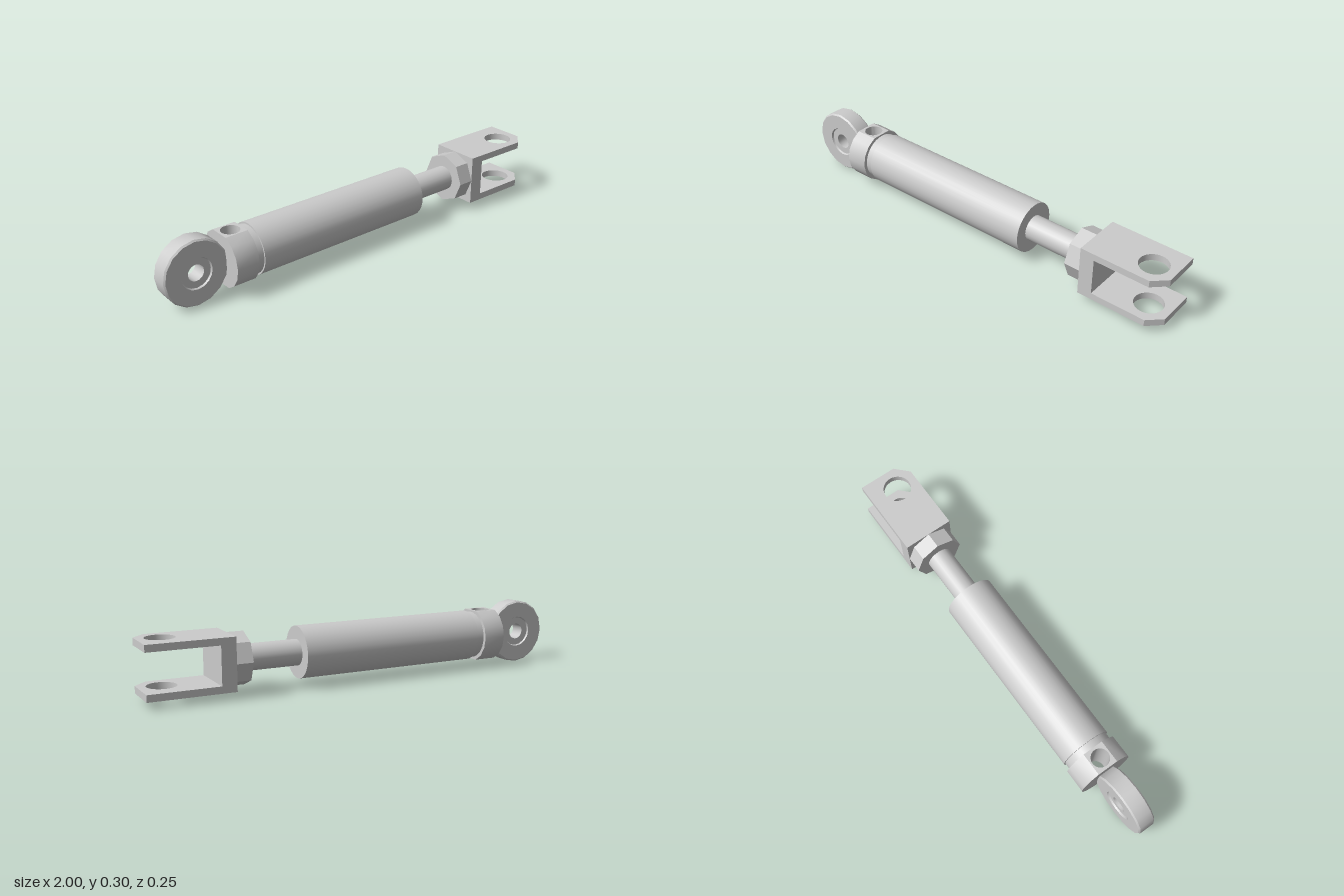
import * as THREE from 'three';
import { toCreasedNormals } from 'three/addons/utils/BufferGeometryUtils.js';

const AXIS_Y = 0.149; // height of the cylinder's centre line
const material = new THREE.MeshStandardMaterial({ color: 0xcccccc });
const flatMaterial = new THREE.MeshStandardMaterial({ color: 0xcccccc, flatShading: true });

function add(parent, name, geometry, mat = material) {
  const mesh = new THREE.Mesh(geometry, mat);
  mesh.name = name;
  parent.add(mesh);
  return mesh;
}

// Cylinder lying along x between two x positions
function rodAlongX(x0, x1, radius, sides) {
  return new THREE.CylinderGeometry(radius, radius, x1 - x0, sides)
    .rotateZ(Math.PI / 2)
    .translate((x0 + x1) / 2, 0, 0);
}

// Plate outlined by [x, z] corners with a round hole, from y0 to y1
function platePierced(corners, holeX, holeZ, holeR, y0, y1) {
  const shape = new THREE.Shape(corners.map(([x, z]) => new THREE.Vector2(x, -z)));
  const hole = new THREE.Path();
  hole.absarc(holeX, -holeZ, holeR, 0, Math.PI * 2, true);
  shape.holes.push(hole);
  const g = new THREE.ExtrudeGeometry(shape, { depth: y1 - y0, bevelEnabled: false, curveSegments: 16 });
  return toCreasedNormals(g.rotateX(-Math.PI / 2).translate(0, y0, 0), 0.6);
}

// Spherical-bearing eye at the left end, with a recessed bushing
function buildEye() {
  const profile = [
    [0.037, -0.034], [0.068, -0.034], [0.072, -0.042], [0.142, -0.042], [0.1485, -0.035],
    [0.1485, 0.035], [0.142, 0.042], [0.072, 0.042], [0.068, 0.034], [0.037, 0.034], [0.037, -0.034],
  ].map(([r, z]) => new THREE.Vector2(r, z));
  const g = new THREE.LatheGeometry(profile, 16).rotateX(Math.PI / 2).translate(-0.852, 0, 0);
  return toCreasedNormals(g, 0.5);
}

// Collar: sixteen-sided with flats above and below, cross-drilled vertically
function buildCollar() {
  const collar = new THREE.Group();
  collar.name = 'collar';
  const x0 = -0.715, x1 = -0.61, r = 0.126, step = Math.PI / 8;
  const halfFlat = r * Math.sin(step), flatY = r * Math.cos(step);
  add(collar, 'drilledBlock', platePierced(
    [[x0, halfFlat], [x1, halfFlat], [x1, -halfFlat], [x0, -halfFlat]],
    (x0 + x1) / 2, 0, 0.041, -flatY, flatY));
  for (const turn of [0, Math.PI]) {
    const points = [];
    for (let i = -3; i <= 3; i++) {
      points.push(new THREE.Vector2(r * Math.cos(turn + i * step), r * Math.sin(turn + i * step)));
    }
    const g = new THREE.ExtrudeGeometry(new THREE.Shape(points), { depth: x1 - x0, bevelEnabled: false });
    add(collar, 'collarSide', toCreasedNormals(g.rotateY(Math.PI / 2).translate(x0, 0, 0), 0.5));
  }
  return collar;
}

// Fork: a web with two pierced plates, each with one clipped corner
function buildClevis() {
  const clevis = new THREE.Group();
  clevis.name = 'clevis';
  const x0 = 0.62, half = 0.116, thick = 0.031;
  add(clevis, 'web', new THREE.BoxGeometry(0.066, 2 * (half - thick), 2 * half)
    .translate(x0 + 0.033, 0, 0));
  const corners = [[x0, half], [0.94, half], [1, 0.058], [1, -half], [x0, -half]];
  for (const y of [-half, half - thick]) {
    add(clevis, 'forkPlate', platePierced(corners, 0.9, 0.015, 0.064, y, y + thick));
  }
  return clevis;
}

export function createModel() {
  const group = new THREE.Group();
  group.name = 'hydraulicCylinder';
  const body = new THREE.Group();
  body.name = 'assembly';
  body.position.y = AXIS_Y;
  group.add(body);

  add(body, 'rodEye', buildEye());
  body.add(buildCollar());
  add(body, 'neck', rodAlongX(-0.612, -0.57, 0.109, 32));
  add(body, 'barrel', rodAlongX(-0.576, 0.3, 0.116, 32));
  add(body, 'pistonRod', rodAlongX(0.29, 0.56, 0.058, 24));
  add(body, 'lockNut', rodAlongX(0.546, 0.622, 0.116, 8), flatMaterial);
  body.add(buildClevis());
  return group;
}
